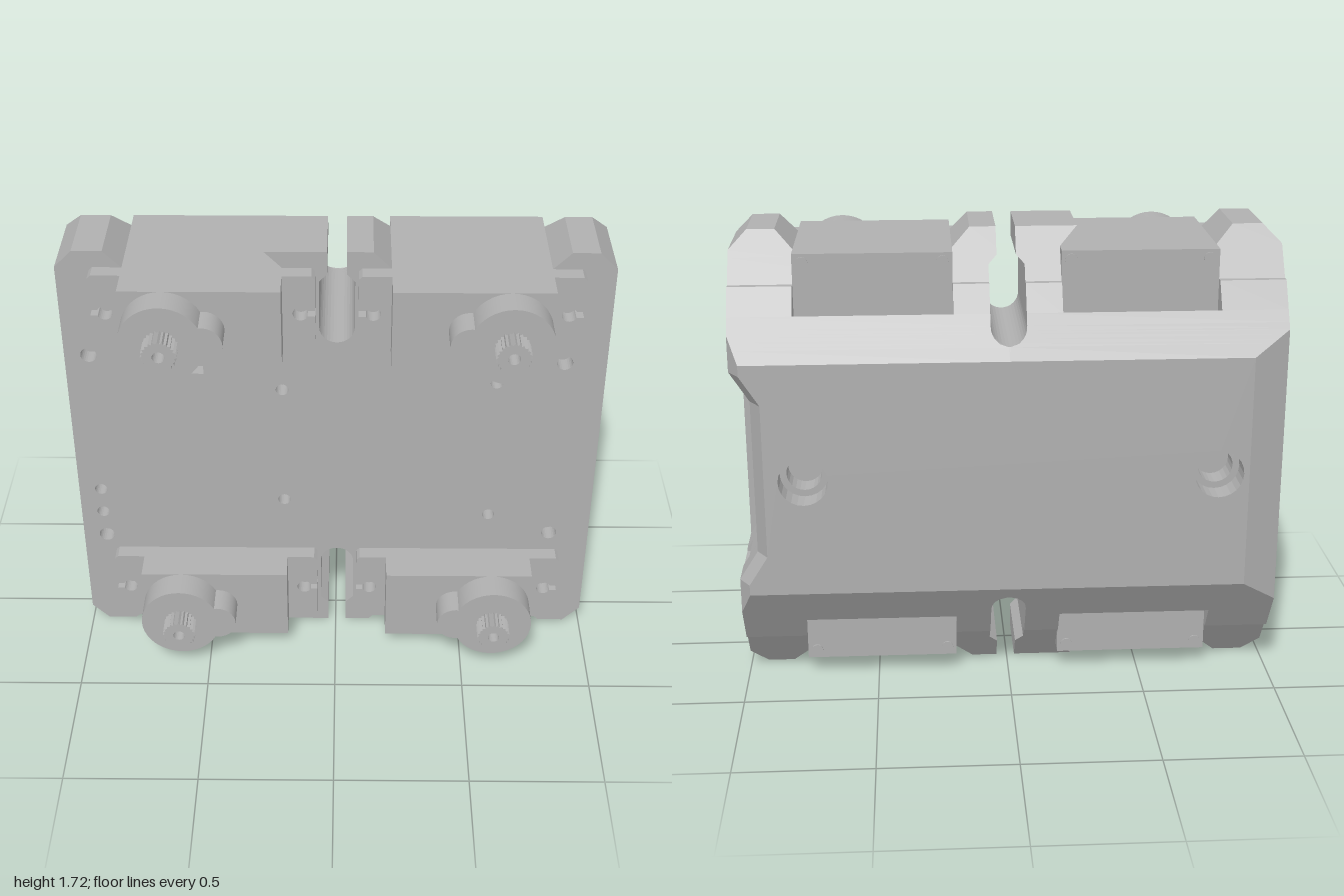
import * as THREE from 'three';

const H = 1.72;      // overall height
const POCKET = 1.35; // floor of the motor pockets
const SLOT = { x: 0.005, y: 1.41, r: 0.065 };

const lerp = (v, a, b, p, q) => p + (q - p) * Math.min(1, Math.max(0, (v - a) / (b - a)));

// height of the housing's upper edge at depth z
function topAt(z) {
  if (z > -0.285) return lerp(z, -0.285, -0.16, 1.545, H);
  return lerp(z, -0.465, -0.31, 1.30, 1.545);
}

// upper edge of the outline, from right to left
function topEdge(yt, xl, xr, pocket) {
  const e = Math.max(0, yt - 1.655), k = Math.min(yt, 1.655);
  const half = y => lerp(y, 1.60, 1.63, SLOT.r, 0.035);
  const pts = [[xr, k], [xr - e, yt]];
  if (pocket) pts.push([0.77 + e, yt], [0.77, k], [0.77, POCKET], [0.2, POCKET], [0.2, k], [0.2 - e, yt]);
  // centre slot: narrow neck above a round-ended hole
  const necks = yt > SLOT.y ? [yt, Math.min(yt, 1.63), Math.min(yt, 1.6)] : [yt, yt, yt];
  const a0 = Math.asin(Math.min(1, Math.max(0, (SLOT.y - yt) / SLOT.r)));
  const w = y => (yt > SLOT.y ? half(y) : SLOT.r * Math.cos(a0));
  necks.forEach(y => pts.push([SLOT.x + w(y), y]));
  for (let i = 0; i <= 16; i++) {
    const a = a0 + (Math.PI - 2 * a0) * i / 16;
    pts.push([SLOT.x + SLOT.r * Math.cos(a), Math.min(yt, SLOT.y - SLOT.r * Math.sin(a))]);
  }
  necks.slice().reverse().forEach(y => pts.push([SLOT.x - w(y), y]));
  if (pocket) pts.push([-0.19 - e, yt], [-0.19, k], [-0.19, POCKET], [-0.76, POCKET], [-0.76, k], [-0.76 - e, yt]);
  pts.push([xl + e, yt], [xl, k]);
  return pts;
}

// full counter-clockwise outline of the housing at depth z
function outline(z, { pocket = true, recess = true, notch = false }) {
  const xr = lerp(z, -0.465, -0.405, 0.96, 1), xl = lerp(z, -0.465, -0.41, -0.87, -1);
  const top = topEdge(topAt(z), xl, xr, pocket);
  const flip = list => list.map(([x, y]) => [x, H - y]).reverse();
  let right = [], left = [];
  if (recess) {
    const low = notch
      ? [[xr, 0.45], [0.88, 0.45], [0.88, 0.5], [xr - 0.025, 0.5], [xr - 0.07, 0.57]]
      : [[xr, 0.46], [xr - 0.07, 0.57]];
    right = [...low, ...flip(low)];
  }
  if (notch) {
    const up = [[xl, 1.275], [-0.9, 1.275], [-0.9, 1.225], [xl, 1.225]];
    left = [...up, ...flip(up)];
  }
  return [...right, ...top, ...left, ...flip(top)];
}

// clockwise hole contours
const roundHole = (x, y, r, n = 24) => Array.from({ length: n }, (_, i) => {
  const a = -2 * Math.PI * i / n;
  return [x + r * Math.cos(a), y + r * Math.sin(a)];
});

// solid lofted through the outlines at the given depths, front to back
function slab(zs, opts, holes = []) {
  const pos = [];
  const put = (p, z) => pos.push(p[0], p[1], z);
  const wall = (a, b, z0, z1) => a.forEach((_, i) => {
    const j = (i + 1) % a.length;
    put(a[i], z0); put(b[i], z1); put(b[j], z1);
    put(a[i], z0); put(b[j], z1); put(a[j], z0);
  });
  const rings = zs.map(z => outline(z, opts));
  for (let k = 0; k + 1 < zs.length; k++) wall(rings[k], rings[k + 1], zs[k], zs[k + 1]);
  const last = zs.length - 1;
  holes.forEach(h => wall(h, h, zs[0], zs[last]));
  const vec = list => list.map(p => new THREE.Vector2(p[0], p[1]));
  for (const k of [0, last]) {
    const all = [rings[k], ...holes].flat();
    for (const [a, b, c] of THREE.ShapeUtils.triangulateShape(vec(rings[k]), holes.map(vec))) {
      const order = k === 0 ? [a, b, c] : [a, c, b];
      order.forEach(i => put(all[i], zs[k]));
    }
  }
  const g = new THREE.BufferGeometry();
  g.setAttribute('position', new THREE.Float32BufferAttribute(pos, 3));
  g.computeVertexNormals();
  return g;
}

export function createModel() {
  const model = new THREE.Group();
  const grey = new THREE.MeshStandardMaterial({ color: 0xb0b0b0 });
  grey.name = 'grey';
  const add = (parent, name, geo, x = 0, y = 0, z = 0) => {
    const m = new THREE.Mesh(geo, grey);
    m.name = name;
    m.position.set(x, y, z);
    parent.add(m);
    return m;
  };

  // housing, in layers from front to back
  const housing = new THREE.Group();
  housing.name = 'housing';
  model.add(housing);
  const frontHoles = [
    [-0.91, 1.285, 0.03], [0.845, 1.26, 0.03], [0.845, 0.46, 0.03], [-0.91, 0.44, 0.03],
    [-0.2, 1.135, 0.024], [0.6, 1.17, 0.024], [-0.2, 0.62, 0.024], [0.6, 0.55, 0.024],
    [-0.915, 0.665, 0.024], [-0.915, 0.555, 0.024],
  ].map(h => roundHole(...h));
  frontHoles.push([[-0.71, 1.205], [-0.71, 1.345], [-0.49, 1.345], [-0.49, 1.205]]);
  const backHoles = r => [roundHole(-0.76, 0.86, r), roundHole(0.75, 0.86, r)];
  add(housing, 'frontPlate', slab([0.11, 0.04], { recess: false }, frontHoles));
  add(housing, 'frontLayer', slab([0.04, -0.12], {}));
  add(housing, 'slottedLayer', slab([-0.12, -0.16, -0.2064, -0.2243, -0.2457, -0.28], { notch: true }));
  add(housing, 'rearLayer', slab([-0.28, -0.285, -0.31, -0.37], {}, backHoles(0.065)));
  add(housing, 'backCover',
    slab([-0.37, -0.395, -0.405, -0.41, -0.42, -0.43, -0.4365, -0.465], { pocket: false }, backHoles(0.09)));

  // mounting flange with a keyhole at each end
  const flange = new THREE.Shape();
  const key = s => {
    const a = s > 0 ? 0 : Math.PI;
    flange.lineTo(s * 0.4025, -s * 0.012);
    flange.absarc(s * 0.35, 0, 0.028, a - 0.44, a + 0.44, true);
    flange.lineTo(s * 0.4025, s * 0.012);
  };
  flange.moveTo(-0.39, -0.1525);
  flange.lineTo(0.39, -0.1525);
  flange.lineTo(0.4025, -0.14);
  key(1);
  flange.lineTo(0.4025, 0.14);
  flange.lineTo(0.39, 0.1525);
  flange.lineTo(-0.39, 0.1525);
  flange.lineTo(-0.4025, 0.14);
  key(-1);
  flange.lineTo(-0.4025, -0.14);
  const flangeGeo = new THREE.ExtrudeGeometry(flange, { depth: 0.06, bevelEnabled: false });

  // splined output shaft with a screw hole
  const spline = new THREE.Shape(Array.from({ length: 48 }, (_, i) => {
    const a = 2 * Math.PI * i / 48, r = i % 2 ? 0.055 : 0.063;
    return new THREE.Vector2(r * Math.cos(a), r * Math.sin(a));
  }));
  spline.holes.push(new THREE.Path().absarc(0, 0, 0.022, 0, Math.PI * 2, true));
  const shaftGeo = new THREE.ExtrudeGeometry(spline, { depth: 0.075, bevelEnabled: false });

  const disc = (r, d, n = 40) => new THREE.CylinderGeometry(r, r, d, n).rotateX(Math.PI / 2);

  // four motors, mirrored left and right
  for (const y of [0.2225, 1.5025]) {
    for (const s of [-1, 1]) {
      const motor = new THREE.Group();
      motor.name = 'motor';
      motor.position.set(0.005 + s * 0.48, y, 0);
      model.add(motor);
      add(motor, 'motorCase', new THREE.BoxGeometry(0.57, 0.305, 0.565), 0, 0, -0.0025);
      add(motor, 'mountingFlange', flangeGeo, 0, 0, 0.11);
      add(motor, 'gearHousing', disc(0.152, 0.11), s * 0.13, 0, 0.335);
      add(motor, 'gearBump', disc(0.073, 0.11, 28), s * -0.013, 0, 0.335);
      add(motor, 'outputShaft', shaftGeo, s * 0.13, 0, 0.39);
      for (const sx of [-1, 1]) for (const sy of [-1, 1])
        add(motor, 'caseScrew', disc(0.022, 0.008, 16), sx * 0.25, sy * 0.12, -0.287);
    }
  }
  return model;
}
